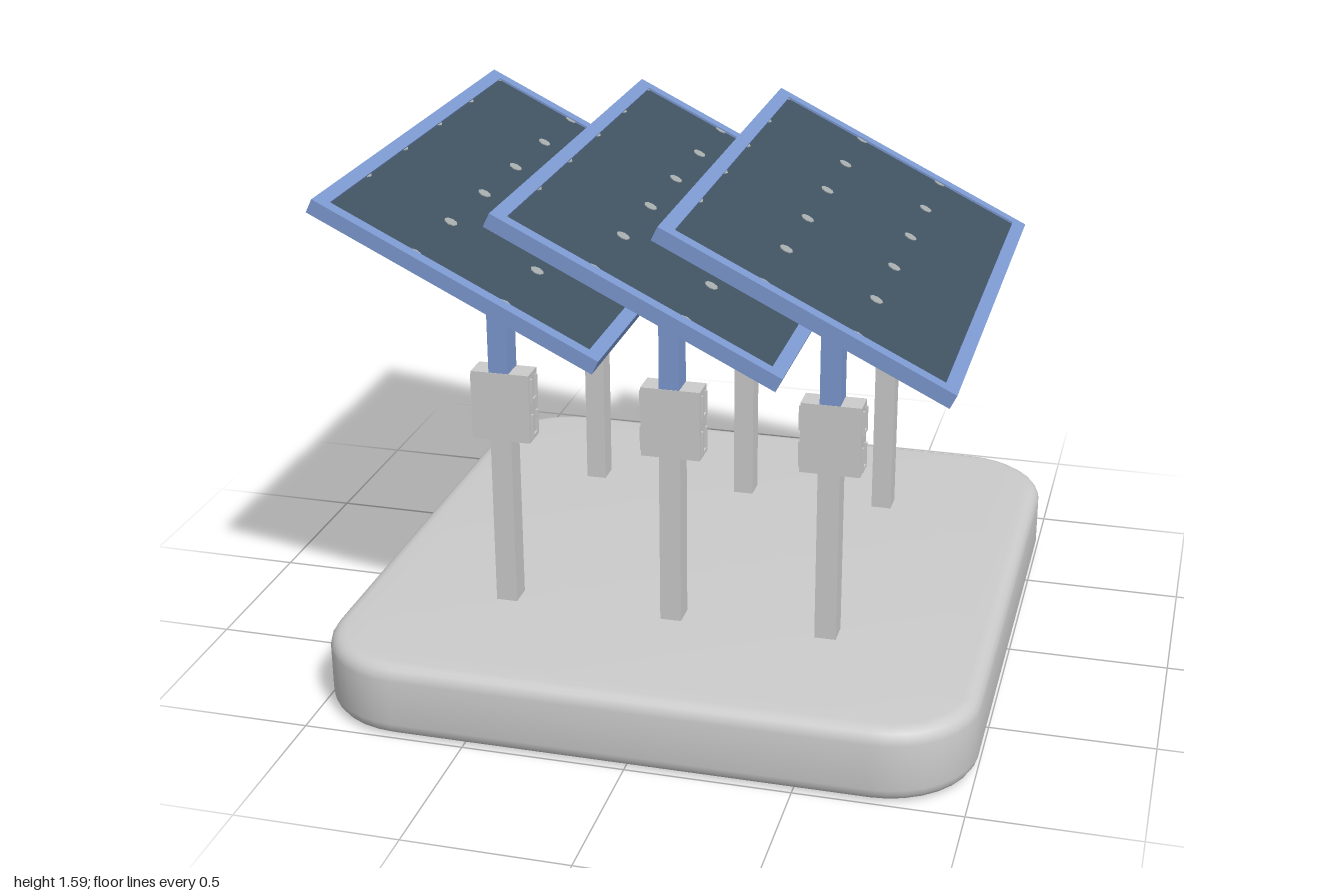
import * as THREE from 'three';
import { toCreasedNormals } from 'three/addons/utils/BufferGeometryUtils.js';

const mat = (name, color) => new THREE.MeshStandardMaterial({ name, color });

export function createModel() {
  const grey = mat('lightGrey', 0xcbcbcb);
  const blue = mat('frameBlue', 0x7c99d0);
  const dark = mat('panelSlate', 0x405261);
  const silver = mat('cellDotGrey', 0xa6abad);
  const model = new THREE.Group();
  model.name = 'solarArray';

  const add = (parent, name, geometry, material, x = 0, y = 0, z = 0) => {
    const mesh = new THREE.Mesh(geometry, material);
    mesh.name = name;
    mesh.position.set(x, y, z);
    parent.add(mesh);
    return mesh;
  };
  const box = (w, h, d) => new THREE.BoxGeometry(w, h, d);
  const rect = (Type, w, h) => new Type([
    new THREE.Vector2(-w / 2, -h / 2), new THREE.Vector2(w / 2, -h / 2),
    new THREE.Vector2(w / 2, h / 2), new THREE.Vector2(-w / 2, h / 2),
  ]);

  // Rounded square slab
  const bevel = 0.045, half = 1 - bevel, r = 0.235, c = half - r, H = 0.235;
  const outline = new THREE.Shape();
  [[c, c], [-c, c], [-c, -c], [c, -c]].forEach(([x, y], i) =>
    outline.absarc(x, y, r, i * Math.PI / 2, (i + 1) * Math.PI / 2, false));
  const slab = new THREE.ExtrudeGeometry(outline, {
    depth: H - 2 * bevel, bevelThickness: bevel, bevelSize: bevel, bevelSegments: 4, curveSegments: 4,
  });
  slab.rotateX(-Math.PI / 2).translate(0, bevel, 0);
  add(model, 'base', toCreasedNormals(slab, 0.7), grey);

  // Leg: lower post, clamp with side brackets, upper post
  const makeLeg = () => {
    const leg = new THREE.Group();
    leg.name = 'leg';
    add(leg, 'lowerPost', box(0.066, 0.57, 0.076), grey, 0, 0.505, 0);
    add(leg, 'clamp', box(0.182, 0.22, 0.08), grey, 0.003, 0.89, 0);
    add(leg, 'upperPost', box(0.062, 0.345, 0.078), blue, 0, 1.1675, 0);
    for (const side of [-1, 1]) {
      for (const y of [0.945, 0.83]) {
        const x = 0.003 + side * 0.092;
        for (const z of [-0.022, 0.022]) add(leg, 'bracketRib', box(0.012, 0.078, 0.009), grey, x, y, z);
        add(leg, 'bracketBar', box(0.010, 0.01, 0.04), grey, x, y - 0.034, 0);
      }
    }
    return leg;
  };

  // Panel: blue tray, recessed dark sheet, dots at the cell corners
  const L = 0.937, W = 1.553, T = 0.045, border = 0.042, recess = 0.007;
  const makePanel = () => {
    const panel = new THREE.Group();
    panel.name = 'panel';
    const ring = rect(THREE.Shape, L, W);
    ring.holes.push(rect(THREE.Path, L - 2 * border, W - 2 * border));
    const rim = new THREE.ExtrudeGeometry(ring, { depth: T, bevelEnabled: false });
    rim.rotateX(-Math.PI / 2).translate(0, -T / 2, 0);
    add(panel, 'frame', rim, blue);
    const w = L - 2 * border, d = W - 2 * border, sheetTop = T / 2 - recess;
    add(panel, 'backPlate', box(w, T - recess - 0.005, d), blue, 0, -(recess + 0.005) / 2, 0);
    add(panel, 'cellSheet', box(w, 0.005, d), dark, 0, sheetTop - 0.0025, 0);
    const dot = new THREE.CylinderGeometry(0.021, 0.021, 0.003, 8);
    for (let i = 0; i < 4; i++) {
      for (let j = 0; j < 6; j++) {
        add(panel, 'cellDot', dot, silver, -0.439 + i * 0.295, sheetTop + 0.001, (j - 2.5) * 0.295);
      }
    }
    return panel;
  };

  // Three tilted rows, each on two legs
  for (const [legX, panelX] of [[-0.523, -0.553], [0.008, -0.021], [0.492, 0.465]]) {
    for (const z of [0.463, -0.495]) {
      const leg = makeLeg();
      leg.position.set(legX, 0, z);
      model.add(leg);
    }
    const panel = makePanel();
    panel.position.set(panelX, 1.3675, 0);
    panel.rotation.z = -THREE.MathUtils.degToRad(26.2);
    model.add(panel);
  }
  return model;
}
